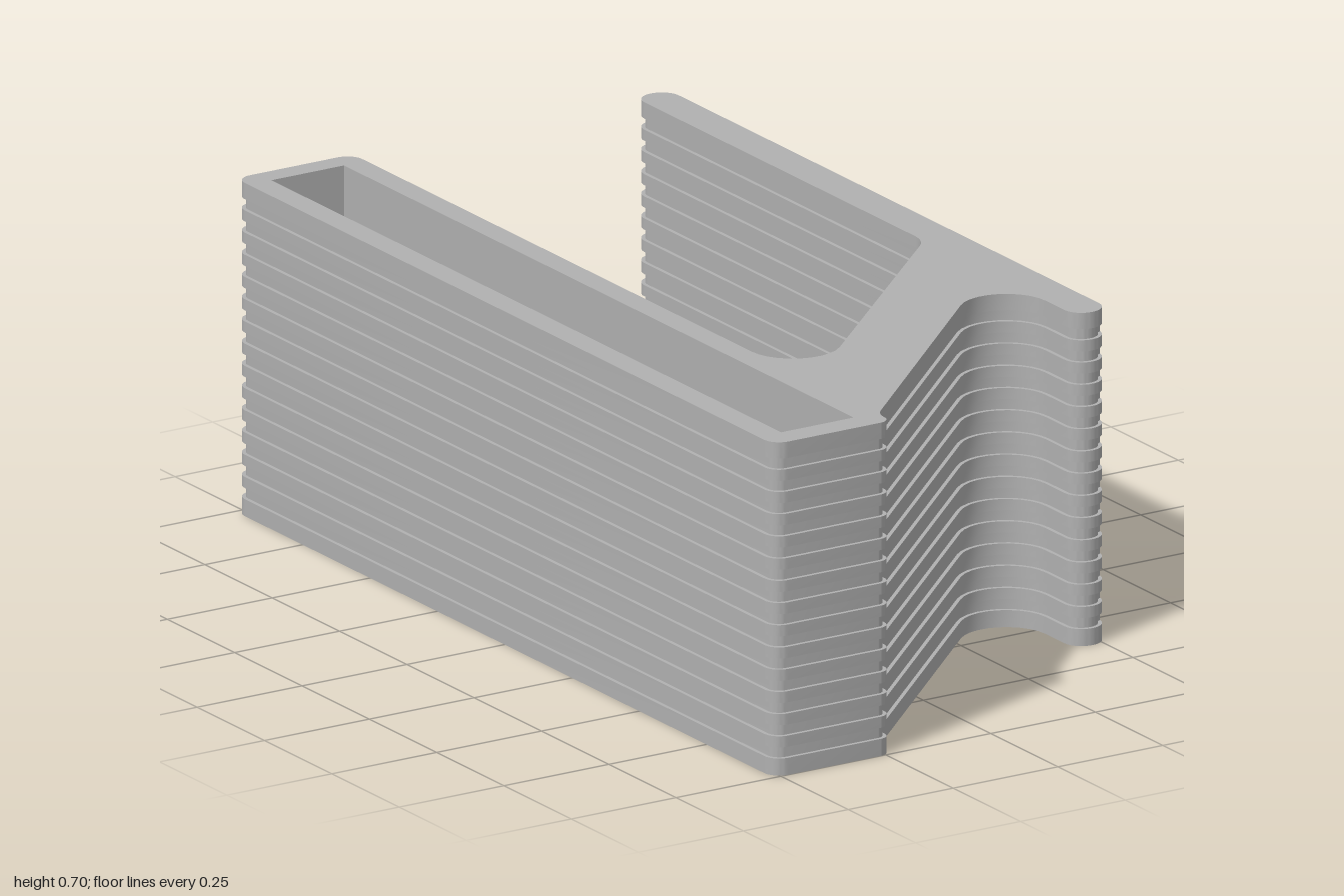
import * as THREE from 'three';
import { toCreasedNormals } from 'three/addons/utils/BufferGeometryUtils.js';

const H = 0.705, FLOOR = 0.047;              // total height, pocket floor
const PITCH = 0.047, GROOVE = 0.0235, DEPTH = 0.008;

// Plan outline as x, z, fillet length; counter-clockwise seen from above
const OUTLINE = [
  [-0.517, 1, 0.035], [-0.237, 1, 0.025], [-0.237, 0.951, 0.023],
  [0.433, 0.31, 0.22], [0.433, 0.64, 0.04], [0.515, 0.64, 0.04],
  [0.515, -1, 0.04], [0.433, -1, 0.04], [0.433, 0.078, 0.035],
  [-0.237, 0.707, 0.225], [-0.237, -1, 0.035], [-0.517, -1, 0.035],
];
const POCKET = [[-0.463, 0.943], [-0.29, 0.943], [-0.29, -0.95], [-0.463, -0.95]]
  .map(([x, z]) => new THREE.Vector2(x, z));

// Replace every corner by a tangent arc
function fillet(corners, steps = 10) {
  const n = corners.length, out = [];
  corners.forEach(([x, z, t], i) => {
    const p = new THREE.Vector2(x, z);
    const toward = (c) => new THREE.Vector2(c[0], c[1]).sub(p).normalize();
    const u = toward(corners[(i + n - 1) % n]), v = toward(corners[(i + 1) % n]);
    const half = Math.acos(u.dot(v)) / 2, r = t * Math.tan(half);
    const c = u.clone().add(v).normalize().multiplyScalar(t / Math.cos(half)).add(p);
    const a = p.clone().addScaledVector(u, t).sub(c).angle();
    let d = p.clone().addScaledVector(v, t).sub(c).angle() - a;
    d = Math.atan2(Math.sin(d), Math.cos(d));
    for (let k = 0; k <= steps; k++) {
      const s = a + d * k / steps;
      out.push(new THREE.Vector2(c.x + r * Math.cos(s), c.y + r * Math.sin(s)));
    }
  });
  return out;
}

// Shrink the outline, leaving the flat +x wall in place
function inset(loop, amount) {
  const n = loop.length;
  return loop.map((p, i) => {
    const d = loop[(i + 1) % n].clone().sub(p).normalize()
      .add(p.clone().sub(loop[(i + n - 1) % n]).normalize()).normalize();
    const x = p.x > 0.514 ? p.x : p.x + d.y * amount;
    return new THREE.Vector2(x, p.y - d.x * amount);
  });
}

// Skin a stack of [loop, y] sections
function wall(sections) {
  const pos = [], idx = [], n = sections[0][0].length;
  for (const [loop, y] of sections) for (const p of loop) pos.push(p.x, y, p.y);
  for (let s = 0; s < sections.length - 1; s++) {
    for (let i = 0; i < n; i++) {
      const a = s * n + i, b = s * n + (i + 1) % n;
      idx.push(a, b, b + n, a, b + n, a + n);
    }
  }
  const g = new THREE.BufferGeometry();
  g.setAttribute('position', new THREE.Float32BufferAttribute(pos, 3));
  g.setIndex(idx);
  return toCreasedNormals(g, 0.6);
}

// Flat horizontal face, facing up or down
function cap(loop, y, up, hole) {
  const flip = (l) => l.map((p) => new THREE.Vector2(p.x, up ? -p.y : p.y));
  const shape = new THREE.Shape(flip(loop));
  if (hole) shape.holes.push(new THREE.Path(flip(hole)));
  return new THREE.ShapeGeometry(shape).rotateX(up ? -Math.PI / 2 : Math.PI / 2).translate(0, y, 0);
}

export function createModel() {
  const group = new THREE.Group();
  group.name = 'bracket';
  const grey = new THREE.MeshStandardMaterial({ color: 0xb0b0b0 });
  grey.name = 'grey';
  const add = (name, geometry) => {
    const mesh = new THREE.Mesh(geometry, grey);
    mesh.name = name;
    group.add(mesh);
  };

  const outer = fillet(OUTLINE), inner = inset(outer, DEPTH);

  // Outer wall with evenly spaced square grooves
  const sections = [[outer, 0]];
  for (let i = 0; i < 14; i++) {
    const y0 = 0.036 + i * PITCH, y1 = y0 + GROOVE;
    sections.push([outer, y0], [inner, y0], [inner, y1], [outer, y1]);
  }
  sections.push([outer, H]);
  add('ribbedWall', wall(sections));

  // Top and bottom faces
  add('topFace', cap(outer, H, true, POCKET));
  add('bottomFace', cap(outer, 0, false));

  // Long open pocket in the thick bar
  const reversed = POCKET.slice().reverse();
  add('pocketWall', wall([[reversed, FLOOR], [reversed, H]]));
  add('pocketFloor', cap(POCKET, FLOOR, true));
  return group;
}
